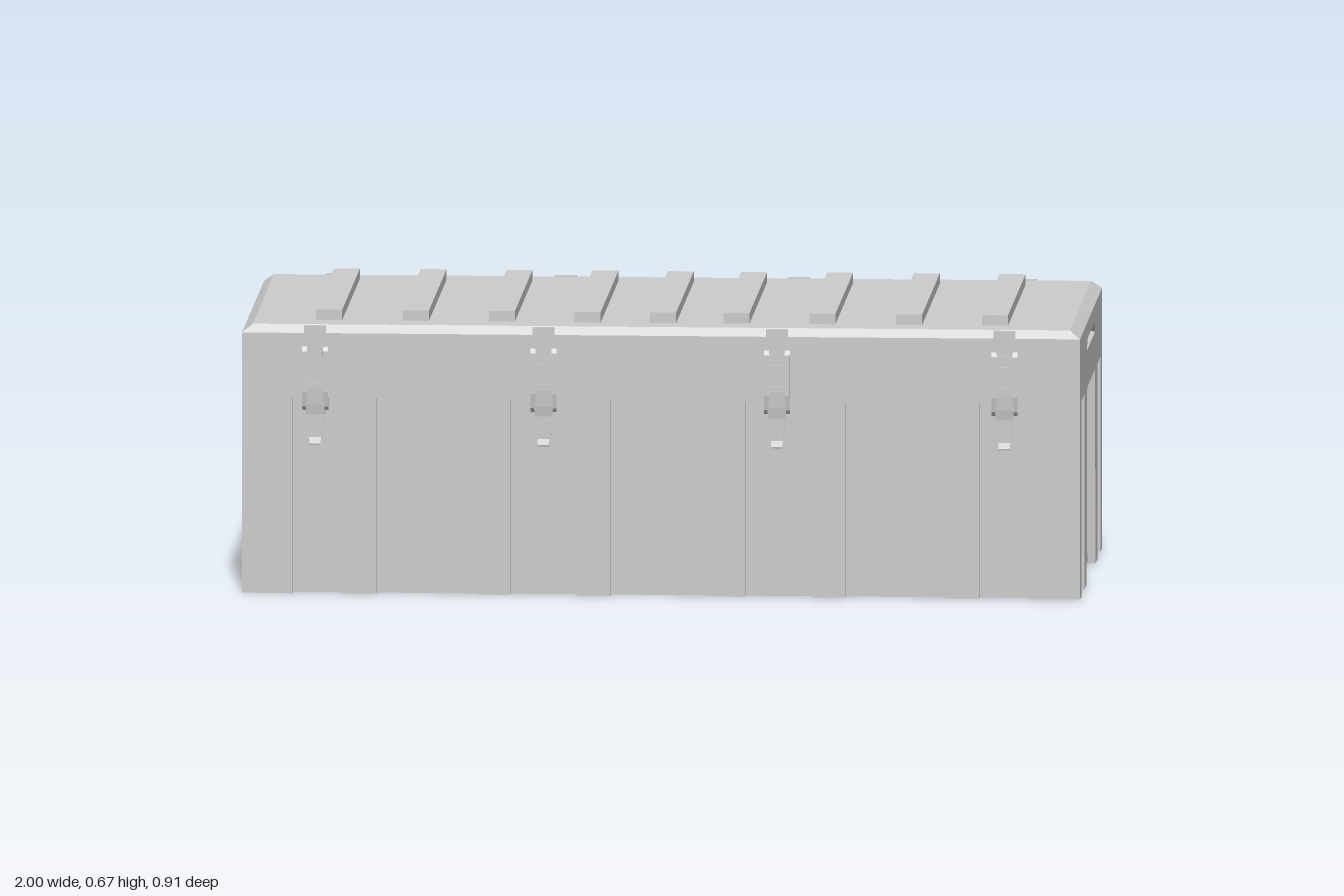
import * as THREE from 'three';

const W = 1, D = 0.44;            // half length and half depth
const WALL = 0.02;                // wall skin / recess depth
const SEAM = 0.56, RIM = 0.626, TOP = 0.645;
const RECESS_TOP = 0.47;

const grey = new THREE.MeshStandardMaterial({ color: 0xcccccc });
const greyDouble = new THREE.MeshStandardMaterial({ color: 0xcccccc, side: THREE.DoubleSide });

function add(parent, name, geometry, x = 0, y = 0, z = 0, material = grey) {
  const mesh = new THREE.Mesh(geometry, material);
  mesh.name = name;
  mesh.position.set(x, y, z);
  parent.add(mesh);
  return mesh;
}

const polygon = (points) => new THREE.Shape(points.map(([x, y]) => new THREE.Vector2(x, y)));

// Outline given as [outward, up], extruded sideways and centred on x
function sideProfile(points, width) {
  const g = new THREE.ExtrudeGeometry(polygon(points), { depth: width, bevelEnabled: false });
  return g.translate(0, 0, -width / 2).rotateY(-Math.PI / 2);
}

// Flat wall facing +z (outer face at z = 0) with notches cut up from its lower edge.
// Each notch: [bottom left, bottom right, top left, top right]
function notchedWall(half, bottom, top, notches, notchTop) {
  const pts = [[-half, bottom]];
  for (const [bl, br, tl, tr] of notches) {
    pts.push([bl, bottom], [tl, notchTop], [tr, notchTop], [br, bottom]);
  }
  pts.push([half, bottom], [half, top], [-half, top]);
  const g = new THREE.ExtrudeGeometry(polygon(pts), { depth: WALL, bevelEnabled: false });
  return g.translate(0, 0, -WALL);
}

function bodyWall(name, half, notches) {
  const wall = new THREE.Group();
  wall.name = name;
  add(wall, 'wallSkin', notchedWall(half, 0, SEAM, notches, RECESS_TOP));
  // Thin sheet closing the back of the recesses
  add(wall, 'recessPanel', new THREE.PlaneGeometry(half * 2 - 0.04, SEAM), 0, SEAM / 2, -WALL - 0.001, greyDouble);
  return wall;
}

function createLatch() {
  const latch = new THREE.Group();
  latch.name = 'latch';
  // Catch on the lid
  add(latch, 'catchPlate', new THREE.BoxGeometry(0.052, 0.06, 0.008), 0, 0.615, 0.002);
  add(latch, 'catchHook', new THREE.BoxGeometry(0.034, 0.014, 0.012), 0, 0.578, 0.005);
  // Side rails and cross bars
  const rail = [[-0.004, 0.44], [0.004, 0.45], [0.011, 0.485], [0.011, 0.583], [0.006, 0.594], [-0.004, 0.594]];
  for (const s of [-1, 1]) add(latch, 'latchRail', sideProfile(rail, 0.012), s * 0.025, 0, 0);
  for (const y of [0.55, 0.5]) add(latch, 'crossBar', new THREE.BoxGeometry(0.046, 0.014, 0.008), 0, y, 0.005);
  add(latch, 'basePlate', new THREE.BoxGeometry(0.05, 0.14, 0.004), 0, 0.52, 0);
  // Lever, narrowing downwards to a flicked-out tip
  const lever = sideProfile([
    [-0.002, 0.5], [0.009, 0.5], [0.006, 0.455], [0.002, 0.43], [0.002, 0.376],
    [0.016, 0.363], [0.015, 0.359], [-0.002, 0.37], [-0.004, 0.43],
  ], 0.05);
  const p = lever.attributes.position;
  for (let i = 0; i < p.count; i++) {
    const t = THREE.MathUtils.clamp((p.getY(i) - 0.36) / 0.08, 0, 1);
    p.setX(i, p.getX(i) * (0.5 + 0.4 * t));
  }
  lever.computeVertexNormals();
  add(latch, 'lever', lever);
  return latch;
}

export function createModel() {
  const model = new THREE.Group();
  model.name = 'storageCase';

  // Body: four walls with recesses, open underneath
  const body = new THREE.Group();
  body.name = 'body';
  model.add(body);
  const straight = (a, b) => [a, b, a, b];
  const longNotches = [[-0.88, -0.76], [-0.68, -0.44], [-0.36, -0.2], [-0.12, 0.12], [0.2, 0.36], [0.44, 0.68], [0.76, 0.88]]
    .map(([a, b]) => straight(a, b));
  const endNotches = [straight(-0.375, -0.263), [-0.185, 0.185, -0.15, 0.15], straight(0.263, 0.375)];
  for (const s of [1, -1]) {
    const long = bodyWall(s > 0 ? 'frontWall' : 'backWall', W, longNotches);
    long.position.z = s * D;
    long.rotation.y = s > 0 ? 0 : Math.PI;
    const end = bodyWall(s > 0 ? 'leftWall' : 'rightWall', D - 0.001, endNotches);
    end.position.x = s * W;
    end.rotation.y = s * Math.PI / 2;
    body.add(long, end);
  }

  // Lid: rim walls with hand holes in the ends
  const lid = new THREE.Group();
  lid.name = 'lid';
  model.add(lid);
  const handHole = [[-0.168, 0.168, -0.128, 0.128]];
  for (const s of [1, -1]) {
    add(lid, 'lidLongRim', new THREE.BoxGeometry(2 * W, RIM - SEAM, WALL), 0, (RIM + SEAM) / 2, s * (D - WALL / 2));
    const end = add(lid, 'lidEndRim', notchedWall(D - 0.001, SEAM, RIM, handHole, 0.586), s * W, 0, 0);
    end.rotation.y = s * Math.PI / 2;
  }

  // Lid top with chamfered edges
  const top = new THREE.BoxGeometry(2 * W, TOP - RIM, 2 * D);
  const p = top.attributes.position;
  for (let i = 0; i < p.count; i++) {
    if (p.getY(i) > 0) {
      p.setX(i, Math.sign(p.getX(i)) * (W - 0.025));
      p.setZ(i, Math.sign(p.getZ(i)) * (D - 0.017));
    }
  }
  top.computeVertexNormals();
  add(lid, 'lidTop', top, 0, (TOP + RIM) / 2, 0);

  // Raised ribs across the lid
  for (const x of [-0.797, -0.59, -0.385, -0.18, 0, 0.175, 0.38, 0.587, 0.792]) {
    add(lid, 'lidRib', new THREE.BoxGeometry(0.062, 0.03, 0.704), x, 0.655, 0);
  }

  // Latches on both long sides
  for (const s of [1, -1]) {
    for (const x of [-0.825, -0.28, 0.277, 0.82]) {
      const latch = createLatch();
      latch.position.set(x, 0, s * D);
      latch.rotation.y = s > 0 ? 0 : Math.PI;
      model.add(latch);
    }
  }
  return model;
}
